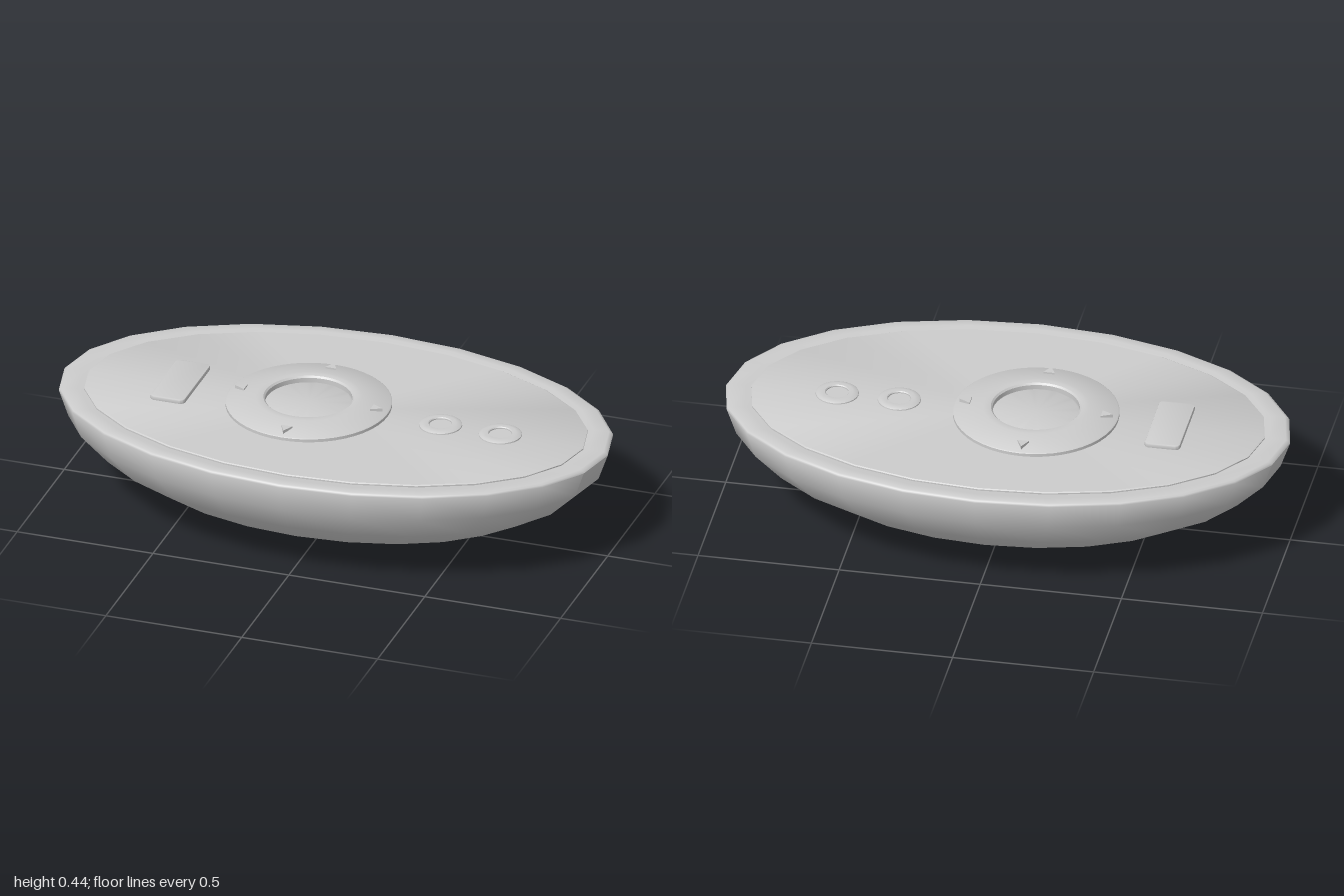
import * as THREE from 'three';
import { toCreasedNormals } from 'three/addons/utils/BufferGeometryUtils.js';

const material = new THREE.MeshStandardMaterial({ color: 0xcccccc });

function part(name, geometry, crease = 0.55) {
  const mesh = new THREE.Mesh(toCreasedNormals(geometry, crease), material);
  mesh.name = name;
  return mesh;
}

// Turned profile [radius, y], stretched into an ellipse when sx and sz differ
function turned(name, profile, segments, sx = 1, sz = 1, crease) {
  const points = profile.map(([r, y]) => new THREE.Vector2(r, y));
  const geometry = new THREE.LatheGeometry(points, segments);
  geometry.scale(sx, 1, sz);
  return part(name, geometry, crease);
}

// Flat outline (x, -z) raised from y to y + height
function raised(name, shape, y, height, bevel = 0) {
  const geometry = new THREE.ExtrudeGeometry(shape, {
    depth: height - bevel, bevelEnabled: bevel > 0, bevelThickness: bevel,
    bevelSize: bevel, bevelOffset: -bevel, bevelSegments: 2, curveSegments: 5,
  });
  geometry.rotateX(-Math.PI / 2);
  geometry.translate(0, y, 0);
  return part(name, geometry);
}

function roundedRect(w, h, r) {
  const s = new THREE.Shape();
  const x = w / 2, y = h / 2;
  s.moveTo(-x + r, -y);
  s.lineTo(x - r, -y);
  s.absarc(x - r, -y + r, r, -Math.PI / 2, 0);
  s.absarc(x - r, y - r, r, 0, Math.PI / 2);
  s.absarc(-x + r, y - r, r, Math.PI / 2, Math.PI);
  s.absarc(-x + r, -y + r, r, Math.PI, Math.PI * 1.5);
  return s;
}

export function createModel() {
  const group = new THREE.Group();

  // Half-ellipsoid shell with a softly rounded rim
  const shell = [];
  for (let i = 0; i < 6; i++) {
    const a = (i / 6) * Math.PI / 2;
    shell.push([Math.sin(a), 0.4 - 0.4 * Math.cos(a)]);
  }
  shell.push([1, 0.393], [0.996, 0.4], [0.985, 0.404], [0.93, 0.404], [0.9, 0.4], [0, 0.4]);
  group.add(turned('bowlShell', shell, 24, 1, 0.605, 0.8));

  // Face plate inside the rim
  const plate = [[1, 0.396], [1, 0.405], [0.992, 0.408], [0, 0.408]];
  group.add(turned('facePlate', plate, 24, 0.91, 0.532));

  // Direction dial with a sloped ring, recessed centre and four arrows
  const dial = new THREE.Group();
  dial.name = 'directionDial';
  dial.position.x = -0.1;
  dial.add(turned('dialRing', [
    [0.29, 0.405], [0.29, 0.419], [0.286, 0.422], [0.185, 0.439], [0.17, 0.44],
    [0.158, 0.438], [0.152, 0.432], [0.152, 0.412],
  ], 48));
  dial.add(turned('centreButton', [[0.152, 0.408], [0.152, 0.415], [0.145, 0.418], [0, 0.418]], 48));
  const triangle = new THREE.Shape([[-0.02, 0.232], [0.02, 0.232], [0, 0.272]]
    .map(([x, y]) => new THREE.Vector2(x, y)));
  for (let i = 0; i < 4; i++) {
    const arrow = raised('dialArrow', triangle, 0.418, 0.019);
    arrow.rotation.y = i * Math.PI / 2;
    dial.add(arrow);
  }
  group.add(dial);

  // Rectangular button
  const bar = raised('barButton', roundedRect(0.126, 0.294, 0.018), 0.404, 0.019, 0.004);
  bar.position.x = -0.573;
  group.add(bar);

  // Two small round buttons with dished centres
  for (const x of [0.385, 0.605]) {
    const button = turned('roundButton', [
      [0.076, 0.405], [0.075, 0.412], [0.068, 0.416], [0.055, 0.418], [0.043, 0.417],
      [0.04, 0.414], [0.04, 0.41], [0, 0.41],
    ], 24);
    button.position.x = x;
    group.add(button);
  }
  return group;
}
